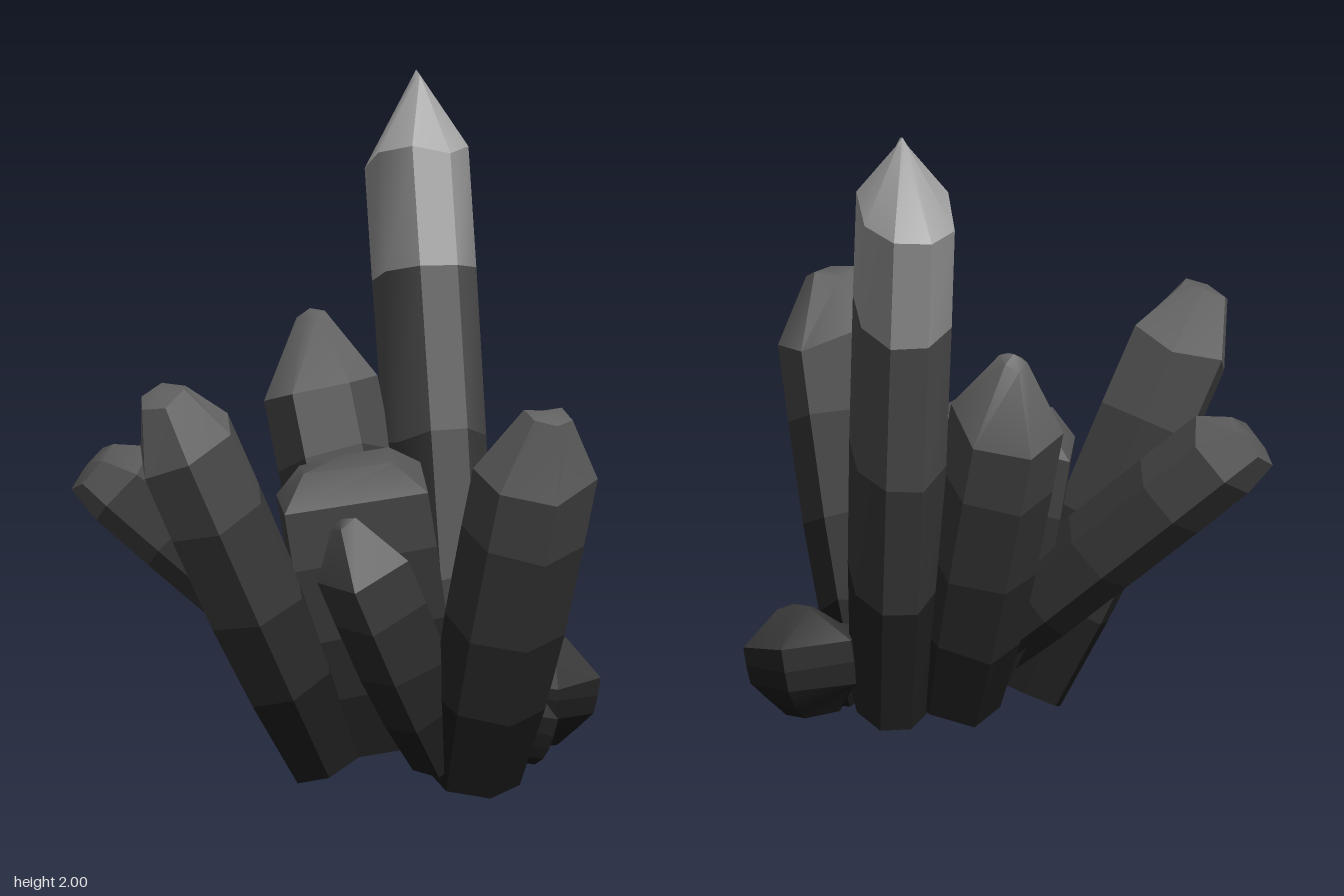
import * as THREE from 'three';
import { toCreasedNormals } from 'three/addons/utils/BufferGeometryUtils.js';

const V = (p) => new THREE.Vector3(...p);

// Small seeded generator for natural irregularity, range -1..1
function seeded(seed) {
  let s = seed * 7919 + 17;
  return () => {
    s = (s * 16807) % 2147483647;
    return (s / 2147483647) * 2 - 1;
  };
}

// Each crystal: base, shoulder and tip centres; w = sideways radius, h = radius along the lean
const crystals = [
  { name: 'tallCrystal', base: [0.04, 0.13, -0.275], shoulder: [-0.335, 1.76, -0.605], tip: [-0.38, 2, -0.67],
    w: 0.148, h: 0.235, blunt: 0.12, foot: 0.8, sides: 8, roll: Math.PI / 8, topGrey: 0.6 },
  { name: 'backLeftCrystal', base: [-0.1, 0.14, -0.14], shoulder: [-0.47, 1.08, -0.31], tip: [-0.55, 1.31, -0.37],
    w: 0.17, h: 0.19, blunt: 0.25, foot: 0.8 },
  { name: 'lowLeaningCrystal', base: [-0.03, 0.25, 0.02], shoulder: [-0.68, 0.88, 0.375], tip: [-0.78, 0.94, 0.43],
    w: 0.13, h: 0.137, blunt: 0.68, foot: 0.88 },
  { name: 'frontCrystal', base: [-0.08, 0.08, 0.19], shoulder: [-0.265, 1.08, 0.64], tip: [-0.29, 1.26, 0.74],
    w: 0.15, h: 0.165, blunt: 0.48, foot: 0.68 },
  { name: 'rightCrystal', base: [0.305, 0.05, -0.005], shoulder: [0.655, 1.03, 0.165], tip: [0.74, 1.23, 0.21],
    w: 0.185, h: 0.168, blunt: 0.4, foot: 0.76 },
  { name: 'centreCrystal', base: [0.04, 0.12, 0.02], shoulder: [-0.055, 0.87, 0.095], tip: [-0.09, 0.99, 0.09],
    w: 0.22, h: 0.31, blunt: 0.62, foot: 0.6, sides: 4, roll: Math.PI / 4 },
  { name: 'smallFrontCrystal', base: [0.25, 0.1, 0.06], shoulder: [0.145, 0.69, 0.32], tip: [0.1, 0.86, 0.37],
    w: 0.148, h: 0.145, blunt: 0.3, foot: 0.7, sides: 4, roll: Math.PI / 4 },
  { name: 'smallBackCrystal', base: [0.21, 0.09, -0.41], shoulder: [0.24, 0.29, -0.425], tip: [0.26, 0.41, -0.45],
    w: 0.185, h: 0.18, blunt: 0.3, foot: 0.5, sides: 5, roll: -0.1 },
  { name: 'backShard', base: [0.28, 0.08, -0.2], shoulder: [0.3, 0.2, -0.23], tip: [0.31, 0.28, -0.23],
    w: 0.13, h: 0.13, blunt: 0.6, foot: 0.75, sides: 4, roll: -0.19 },
];

// Closed rings from the worn foot to the blunted point
function crystalRings({ base, shoulder, tip, w, h, blunt, foot, sides = 6, roll = Math.PI / 2 }, seed) {
  const rand = seeded(seed);
  const b = V(base), s = V(shoulder), t = V(tip);
  const axis = s.clone().sub(b).normalize();
  const u = new THREE.Vector3(0, 1, 0).cross(axis).normalize();
  const v = axis.clone().cross(u);
  const wobble = Array.from({ length: sides }, () => rand() * 0.04);

  // Centre, scale and slant of each cross-section
  const sections = [
    [b, foot, 0],
    [b.clone().lerp(s, 0.25), 0.53 + foot / 2, 0.1],
    [b.clone().lerp(s, 0.5), 0.98, 0.1],
    [b.clone().lerp(s, 0.79), 1, 0.05],
    [s, 1, 0.18],
    [s.clone().lerp(t, 0.88), blunt, 0.1],
  ];
  const rings = sections.map(([centre, scale, slant]) => Array.from({ length: sides }, (_, k) => {
    const a = roll + (k / sides) * Math.PI * 2;
    const r = scale * (1 + wobble[k]);
    return centre.clone()
      .addScaledVector(u, Math.cos(a) * w * r)
      .addScaledVector(v, Math.sin(a) * h * r)
      .addScaledVector(axis, rand() * slant * w);
  }));
  return [Array(sides).fill(b), ...rings, Array(sides).fill(t)];
}

// Skin over a run of rings; a ring that is a single repeated point becomes a fan
function skin(rings) {
  const points = [];
  const n = rings[0].length;
  for (let i = 0; i < rings.length - 1; i++) {
    for (let k = 0; k < n; k++) {
      const j = (k + 1) % n;
      const [a, b, c, d] = [rings[i][k], rings[i][j], rings[i + 1][j], rings[i + 1][k]];
      if (a !== b) points.push(a, b, c);
      if (c !== d) points.push(a, c, d);
    }
  }
  return toCreasedNormals(new THREE.BufferGeometry().setFromPoints(points), 0.8);
}

// Bands of a crystal: name, first and last ring, height along the shaft, extra lightness
const bands = [
  ['foot', 0, 2, 0.1, 0],
  ['lowerShaft', 2, 3, 0.38, 0],
  ['middleShaft', 3, 4, 0.65, 0],
  ['upperShaft', 4, 5, 0.9, 0.02],
  ['point', 5, 7, 1.05, 0.08],
];

function crystal(spec, seed) {
  const group = new THREE.Group();
  group.name = spec.name;
  const rings = crystalRings(spec, seed);
  for (const [name, first, last, along, extra] of bands) {
    // Stone grows lighter with height; the tall crystal has a pale top
    const y = THREE.MathUtils.lerp(spec.base[1], spec.shoulder[1], along);
    const grey = (spec.topGrey && first >= 4 ? spec.topGrey : 0.08 + 0.2 * y) + extra;
    const color = new THREE.Color().setRGB(grey, grey, grey, THREE.SRGBColorSpace);
    const mesh = new THREE.Mesh(skin(rings.slice(first, last + 1)), new THREE.MeshStandardMaterial({ color }));
    mesh.name = name;
    group.add(mesh);
  }
  return group;
}

export function createModel() {
  const group = new THREE.Group();
  group.name = 'crystalCluster';
  crystals.forEach((spec, i) => group.add(crystal(spec, i + 1)));
  return group;
}
